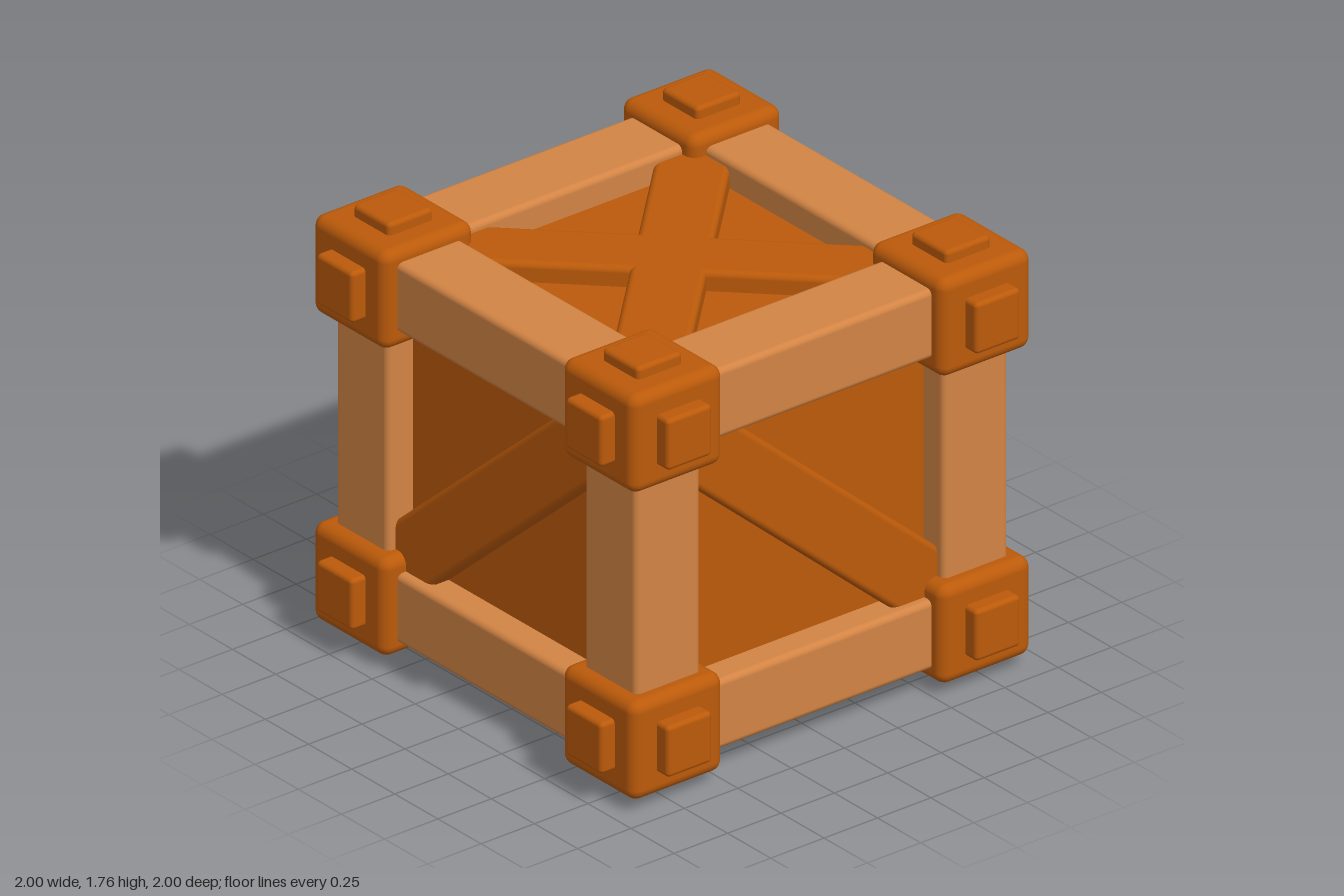
import * as THREE from 'three';
import { RoundedBoxGeometry } from 'three/addons/geometries/RoundedBoxGeometry.js';

const CY = 0.8825;                       // height of the crate's centre
const CORNER = [0.722, 0.632, 0.722];    // corner block offsets from the centre
const SIGNS = [-1, 1];

export function createModel() {
  const crate = new THREE.Group();
  crate.name = 'crate';
  const darkWood = new THREE.MeshStandardMaterial({ color: 0xbb5a0a });
  darkWood.name = 'dark orange wood';
  const lightWood = new THREE.MeshStandardMaterial({ color: 0xd28444 });
  lightWood.name = 'light wood';

  const add = (parent, name, geometry, material, x = 0, y = 0, z = 0) => {
    const mesh = new THREE.Mesh(geometry, material);
    mesh.name = name;
    mesh.position.set(x, y, z);
    parent.add(mesh);
    return mesh;
  };

  const body = new THREE.Group();
  body.name = 'body';
  body.position.y = CY;
  crate.add(body);

  // Recessed panels on all six sides
  add(body, 'panels', new THREE.BoxGeometry(1.51, 1.34, 1.51), darkWood);

  // Frame beams: four along each axis
  const beamX = new RoundedBoxGeometry(1.2, 0.285, 0.305, 3, 0.025);
  const beamY = new RoundedBoxGeometry(0.305, 1.1, 0.305, 3, 0.025);
  const beamZ = new RoundedBoxGeometry(0.305, 0.285, 1.2, 3, 0.025);
  for (const a of SIGNS) {
    for (const b of SIGNS) {
      add(body, 'widthBeam', beamX, lightWood, 0, a * 0.64, b * 0.723);
      add(body, 'uprightBeam', beamY, lightWood, a * 0.72, 0, b * 0.72);
      add(body, 'depthBeam', beamZ, lightWood, a * 0.723, b * 0.64, 0);
    }
  }

  // One diagonal brace on each wall, nearly flush with the frame
  const brace = new RoundedBoxGeometry(1.75, 0.28, 0.16, 3, 0.025);
  const wallTurns = [[0, -1], [Math.PI / 2, 1], [Math.PI, -1], [-Math.PI / 2, 1]];
  for (const [turn, slope] of wallTurns) {
    const wall = new THREE.Group();
    wall.name = 'wallBrace';
    wall.rotation.y = turn;
    body.add(wall);
    add(wall, 'diagonalBrace', brace, darkWood, 0, 0, 0.755).rotation.z = slope * 0.715;
  }

  // Crossed braces on the lid and the base
  const crossBrace = new RoundedBoxGeometry(1.95, 0.16, 0.28, 3, 0.025);
  for (const s of SIGNS) {
    for (const d of SIGNS) {
      add(body, s > 0 ? 'lidBrace' : 'baseBrace', crossBrace, darkWood, 0, s * 0.67, 0)
        .rotation.y = d * Math.PI / 4;
    }
  }

  // Corner blocks with a square stud on each of the three outer faces
  const block = new RoundedBoxGeometry(0.428, 0.405, 0.428, 4, 0.045);
  const stud = new RoundedBoxGeometry(0.21, 0.21, 0.21, 3, 0.018);
  const reach = [0.173, 0.1455, 0.173];
  for (const sx of SIGNS) for (const sy of SIGNS) for (const sz of SIGNS) {
    const signs = [sx, sy, sz];
    const corner = new THREE.Group();
    corner.name = 'corner';
    corner.position.set(...signs.map((s, i) => s * CORNER[i]));
    body.add(corner);
    add(corner, 'cornerBlock', block, darkWood);
    for (let axis = 0; axis < 3; axis++) {
      const offset = [0, 0, 0];
      offset[axis] = signs[axis] * reach[axis];
      add(corner, 'stud', stud, darkWood, ...offset);
    }
  }
  return crate;
}
